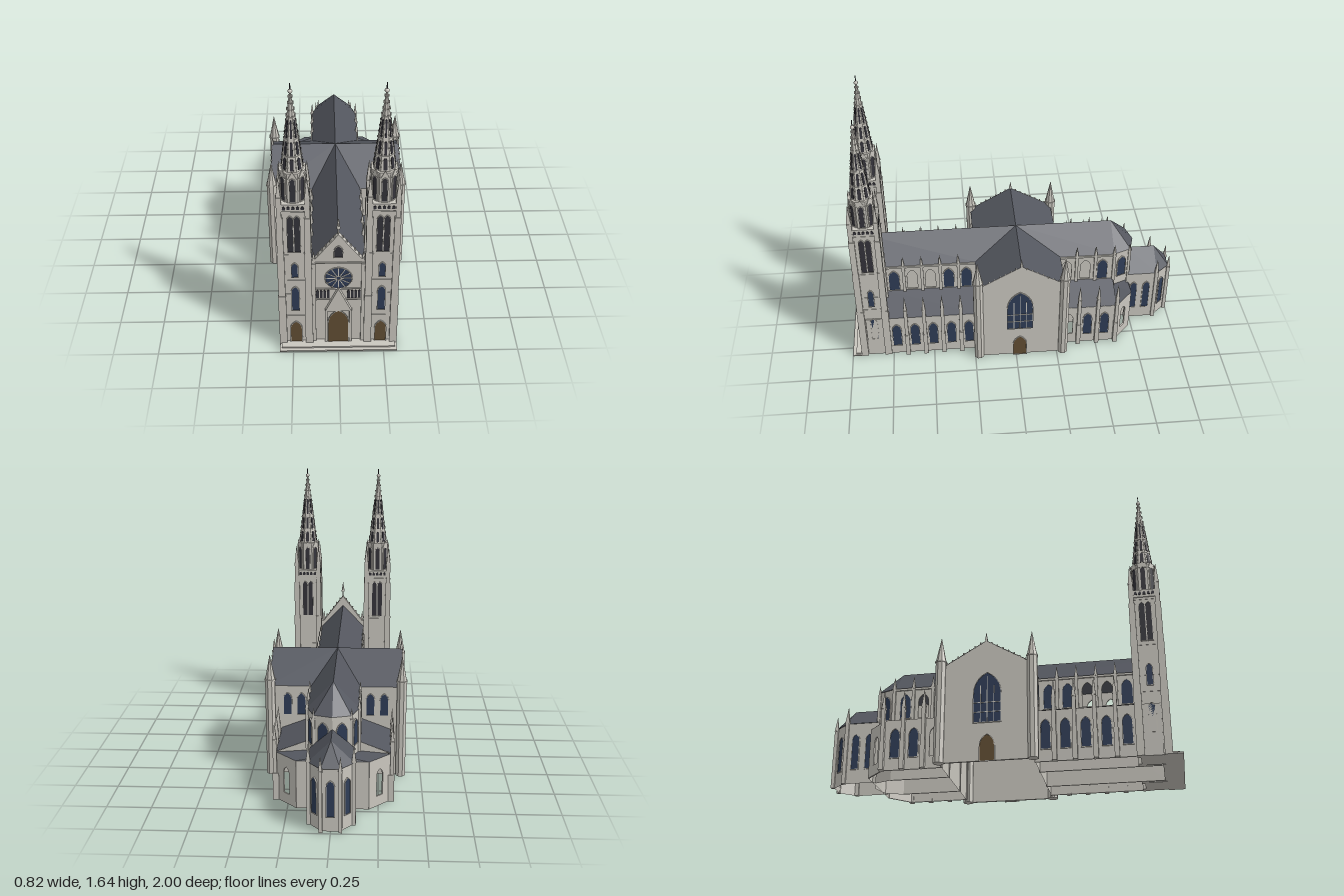
import * as THREE from 'three';

const mat = (name, color, side = THREE.FrontSide) => {
  const m = new THREE.MeshStandardMaterial({ color, side });
  m.name = name;
  return m;
};
const stone = mat('stone', 0xcac7bf, THREE.DoubleSide);
const slate = mat('slate', 0x54575f, THREE.DoubleSide);
const glass = mat('blueGlass', 0x2f3d57);
const wood = mat('doorWood', 0x624e33);
const dark = mat('darkOpening', 0x34333a);

export function createModel() {
  const root = new THREE.Group();
  root.name = 'cathedral';

  const add = (name, geo, m, x = 0, y = 0, z = 0, parent = root) => {
    const mesh = new THREE.Mesh(geo, m);
    mesh.name = name;
    mesh.position.set(x, y, z);
    parent.add(mesh);
    return mesh;
  };
  // box given by centre x, base y, centre z
  const box = (name, w, h, d, x, y, z, m = stone, parent = root) =>
    add(name, new THREE.BoxGeometry(w, h, d), m, x, y + h / 2, z, parent);
  const extrude = (shape, depth) =>
    new THREE.ExtrudeGeometry(shape, { depth, bevelEnabled: false, curveSegments: 5 });
  const polygon = (pts) => new THREE.Shape(pts.map((p) => new THREE.Vector2(p[0], p[1])));
  const mirrored = (half) => [...half, ...half.map(([x, z]) => [-x, z]).reverse()];
  // flat faces from corner loops
  const surface = (name, loops, m) => {
    const v = [];
    for (const p of loops)
      for (let i = 1; i < p.length - 1; i++) v.push(...p[0], ...p[i], ...p[i + 1]);
    const g = new THREE.BufferGeometry();
    g.setAttribute('position', new THREE.Float32BufferAttribute(v, 3));
    g.computeVertexNormals();
    return add(name, g, m);
  };
  // open upright walls along plan points [x, z]
  const shell = (name, pts, h) =>
    surface(name, pts.slice(1).map(([x, z], i) => {
      const [px, pz] = pts[i];
      return [[px, 0, pz], [px, h, pz], [x, h, z], [x, 0, z]];
    }), stone);
  // pointed arch outline
  const arch = (w, h, x = 0, y = 0, C = THREE.Shape) => {
    const s = new C(), a = w / 2, spring = y + Math.max(h - w * 0.85, h * 0.3);
    s.moveTo(x - a, y);
    s.lineTo(x + a, y);
    s.lineTo(x + a, spring);
    s.quadraticCurveTo(x + a, y + h - w * 0.25, x, y + h);
    s.quadraticCurveTo(x - a, y + h - w * 0.25, x - a, spring);
    s.closePath();
    return s;
  };
  // thin wall panel with arched holes [u, y, w, h]
  const panel = (name, u0, u1, h, holes, x, z, ry) => {
    const shape = polygon([[u0, 0], [u1, 0], [u1, h], [u0, h]]);
    for (const [u, y, w, k] of holes) shape.holes.push(arch(w, k, u, y, THREE.Path));
    add(name, extrude(shape, 0.008), stone, x, 0, z).rotation.y = ry;
  };
  // arched panel with a raised stone surround
  const lancet = (name, m, w, h, x, y, z, ry = 0, parent = root, trim = 0.004) => {
    const g = new THREE.Group();
    g.name = name;
    g.position.set(x, y, z);
    g.rotation.y = ry;
    parent.add(g);
    add(name + 'Panel', extrude(arch(w, h), 0.004), m, 0, 0, 0, g);
    if (trim) {
      const ring = arch(w + 2 * trim, h + 2 * trim, 0, -trim);
      ring.holes.push(arch(w, h, 0, 0, THREE.Path));
      add(name + 'Surround', extrude(ring, 0.007), stone, 0, 0, 0, g);
    }
    return g;
  };
  const prismatic = (rt, rb, h, sides) => {
    const g = new THREE.CylinderGeometry(rt, rb, h, sides, 1, false, Math.PI / sides).toNonIndexed();
    g.computeVertexNormals();
    return g;
  };
  // shaft with a pointed cap
  const pinnacle = (name, x, z, w, y0, y1, y2, sides = 4, parent = root) => {
    const r = w / 2 / Math.cos(Math.PI / sides);
    const part = (n, rt, rb, a, b) => add(n, prismatic(rt, rb, b - a, sides), stone, x, (a + b) / 2, z, parent);
    part(name + 'Shaft', r, r, y0, y1);
    part(name + 'Collar', r * 1.12, r * 1.12, y1 - 0.006, y1 + 0.002);
    part(name + 'Cap', 0.001, r, y1, y2);
  };
  const Q = Math.PI / 2;

  // ---- main walls, open underneath ----
  box('frontStepLower', 0.65, 0.008, 0.09, 0, 0, 0.955);
  box('frontStepUpper', 0.63, 0.016, 0.07, 0, 0, 0.945);
  for (const z of [0.225, -0.285]) shell('transeptWall', [[0.375, z], [-0.375, z]], 0.55);
  shell('ambulatoryBackWall', [[0.2, -0.73], [-0.2, -0.73]], 0.285);
  shell('apseWall', [[0.14, -0.62], [0.1, -0.72], [0, -0.75], [-0.1, -0.72], [-0.14, -0.62]], 0.55);
  shell('endChapelWall', mirrored([[0.12, -0.71], [0.12, -0.9], [0.05, -0.98]]), 0.36);

  // ---- roofs ----
  const E = 0.55, R = 0.7, W = 0.143, T = -0.03;
  const roofs = [];
  for (const s of [1, -1]) {
    const c = [0, R, T], end = [0, R, -0.61];
    roofs.push(
      [[0, R, 0.9], c, [s * W, E, 0.225], [s * W, E, 0.9]],
      [c, [s * 0.386, R, T], [s * 0.386, E, 0.228], [s * W, E, 0.228]],
      [c, [s * 0.386, R, T], [s * 0.386, E, -0.288], [s * W, E, -0.288]],
      [c, end, [s * W, E, -0.62], [s * W, E, -0.288]],
      [end, [s * W, E, -0.62], [s * 0.102, E, -0.725]],
      [end, [s * 0.102, E, -0.725], [0, E, -0.755]],
      [[s * 0.14, 0.357, 0.77], [s * 0.317, 0.29, 0.77], [s * 0.317, 0.29, 0.225], [s * 0.14, 0.357, 0.225]],
      [[s * 0.14, 0.357, -0.285], [s * 0.317, 0.288, -0.285], [s * 0.317, 0.288, -0.62], [s * 0.14, 0.357, -0.62]],
      [[s * 0.14, 0.3, -0.62], [s * 0.317, 0.285, -0.62], [s * 0.2, 0.285, -0.732], [s * 0.1, 0.3, -0.72]],
      [[s * 0.1, 0.3, -0.72], [s * 0.2, 0.285, -0.732], [s * 0.1, 0.285, -0.732]],
      [[0, 0.48, -0.72], [0, 0.48, -0.895], [s * 0.123, 0.36, -0.902], [s * 0.123, 0.36, -0.72]],
      [[0, 0.48, -0.895], [s * 0.123, 0.36, -0.902], [s * 0.052, 0.36, -0.986]],
    );
  }
  roofs.push([[0, 0.48, -0.895], [0.052, 0.36, -0.986], [-0.052, 0.36, -0.986]]);
  surface('roofs', roofs, slate);

  // ---- both long sides ----
  const bays = [0.72, 0.61, 0.5, 0.39, 0.283, -0.33, -0.445, -0.55];
  const open = [0.61, 0.5, -0.33, -0.445];
  for (const s of [1, -1]) {
    const ry = s * Q;
    // nave and aisle walls, a few bays unglazed
    for (const [a, b] of [[0.9, 0.22], [-0.28, -0.62]]) {
      const u = [-s * a, -s * b].sort((p, q) => p - q);
      const holes = open.filter((z) => z < a && z > b).map((z) => [-s * z, 0.365, 0.06, 0.145]);
      panel('naveWall', ...u, E, holes, s * 0.132, 0, ry);
      panel('aisleWall', ...u, 0.289, a < 0 ? [[s * 0.33, 0.07, 0.05, 0.165]] : [], s * 0.307, 0, ry);
      box('eaveBand', 0.01, 0.012, a - b, s * 0.144, E - 0.014, (a + b) / 2);
    }
    panel('ambulatoryWall', -0.08, 0.08, 0.285, [[0, 0.06, 0.046, 0.16]], s * 0.252, -0.67, s * 2.378);
    surface('aisleRoofEnd', [[[s * 0.14, 0.357, -0.62], [s * 0.315, 0.288, -0.62], [s * 0.14, 0.288, -0.62]]], stone);
    for (const z of bays) {
      if (!open.includes(z)) lancet('clerestoryWindow', glass, 0.06, 0.145, s * 0.14, 0.365, z, ry);
      if (z !== -0.33) lancet('aisleWindow', glass, 0.05, 0.165, s * 0.315, 0.07, z, ry);
    }
    // buttresses and their pinnacles
    for (const z of [0.66, 0.55, 0.44, 0.33, -0.39, -0.505, -0.62]) {
      box('buttressFoot', 0.034, 0.16, 0.026, s * 0.321, 0, z);
      pinnacle('buttress', s * 0.325, z, 0.021, 0, 0.36, 0.46);
      pinnacle('clerestoryPinnacle', s * 0.143, z, 0.018, 0.3, 0.55, 0.62);
    }
    // apse and end chapel
    lancet('apseSideWindow', glass, 0.055, 0.145, s * 0.12, 0.365, -0.67, s * 1.95);
    lancet('apseBackWindow', glass, 0.055, 0.145, s * 0.05, 0.365, -0.735, s * 2.85);
    for (const z of [-0.762, -0.843]) lancet('chapelSideWindow', glass, 0.04, 0.205, s * 0.12, 0.085, z, ry);
    lancet('chapelCornerWindow', glass, 0.04, 0.205, s * 0.085, 0.085, -0.94, s * 2.29);
    pinnacle('chapelPinnacle', s * 0.12, -0.9, 0.022, 0, 0.37, 0.46);
    pinnacle('chapelEndPinnacle', s * 0.052, -0.988, 0.02, 0, 0.35, 0.43);
    pinnacle('apsePinnacle', s * 0.103, -0.72, 0.016, 0.3, 0.53, 0.59);

    // transept front
    const gable = polygon([[-0.255, 0], [0.255, 0], [0.255, 0.549], [0, 0.699], [-0.255, 0.549]]);
    add('transeptGable', extrude(gable, 0.012), stone, s * 0.373, 0, T).rotation.y = ry;
    const win = lancet('transeptWindow', glass, 0.15, 0.285, s * 0.385, 0.217, -0.022, ry);
    for (const x of [-0.037, 0, 0.037]) box('mullion', 0.004, x ? 0.21 : 0.265, 0.004, x, 0, 0.005, stone, win);
    for (const y of [0.055, 0.11]) box('transom', 0.15, 0.004, 0.004, 0, y, 0.005, stone, win);
    lancet('transeptDoor', wood, 0.078, 0.145, s * 0.385, 0, -0.022, ry);
    pinnacle('gableFinial', s * 0.38, T, 0.012, 0.685, 0.71, 0.75);
    for (const e of [-1, 1]) {
      pinnacle('transeptTurret', s * 0.38, T + e * 0.256, 0.056, 0, 0.59, 0.735, 8);
      for (let i = 1; i < 8; i++)
        box('gableCrocket', 0.008, 0.009, 0.007, s * 0.386, 0.697 - i * 0.0185, T + e * i * 0.0315);
      for (const x of [0.2, 0.28])
        lancet('transeptSideWindow', glass, 0.045, 0.13, s * x, 0.375, T + e * 0.255, e > 0 ? 0 : Math.PI);
    }
  }
  lancet('chapelEndWindow', glass, 0.04, 0.205, 0, 0.085, -0.98, Math.PI);

  // ---- west front ----
  add('westGable', extrude(polygon([[-0.15, 0], [0.15, 0], [0.15, 0.59], [0.132, 0.59], [0, 0.765], [-0.132, 0.59], [-0.15, 0.59]]), 0.03), stone, 0, 0, 0.89);
  for (const y of [0.315, 0.392, 0.575]) box('stringCourse', 0.28, 0.006, 0.01, 0, y, 0.922);
  for (const s of [1, -1]) {
    box('frontPier', 0.02, 0.575, 0.022, s * 0.133, 0, 0.922);
    box('portalPier', 0.014, 0.25, 0.03, s * 0.067, 0, 0.925);
    pinnacle('frontPinnacle', s * 0.132, 0.918, 0.014, 0.575, 0.61, 0.65);
    for (let i = 1; i < 6; i++) box('frontCrocket', 0.008, 0.014, 0.008, s * i * 0.022, 0.763 - i * 0.029, 0.905);
    for (let i = 0; i < 4; i++) lancet('galleryArch', dark, 0.014, 0.056, s * (0.055 + i * 0.0195), 0.327, 0.92, 0, root, 0);
  }
  lancet('gableWindow', dark, 0.042, 0.073, 0, 0.617, 0.92);
  box('finialStem', 0.008, 0.09, 0.008, 0, 0.755, 0.905);
  add('finialTip', new THREE.ConeGeometry(0.011, 0.07, 4), stone, 0, 0.83, 0.905);
  box('doorBacking', 0.12, 0.18, 0.02, 0, 0, 0.924);
  lancet('mainDoor', wood, 0.108, 0.235, 0, 0.014, 0.936);
  add('portalGable', extrude(polygon([[-0.072, 0.248], [0.072, 0.248], [0, 0.41]]), 0.026), stone, 0, 0, 0.918);

  // rose window
  const rose = new THREE.Group();
  rose.name = 'roseWindow';
  rose.position.set(0, 0.47, 0.921);
  root.add(rose);
  add('roseGlass', new THREE.CylinderGeometry(0.072, 0.072, 0.006, 36).rotateX(Q), glass, 0, 0, 0, rose);
  for (const [r, tube] of [[0.073, 0.003], [0.014, 0.004]])
    add('roseRing', new THREE.TorusGeometry(r, tube, 6, 36), stone, 0, 0, 0.002, rose);
  for (let i = 0; i < 12; i++)
    add('roseSpoke', new THREE.BoxGeometry(0.005, 0.058, 0.005).translate(0, 0.043, 0), stone, 0, 0, 0.003, rose).rotation.z = (i * Math.PI) / 6;

  // ---- twin towers ----
  for (const s of [1, -1]) {
    const t = new THREE.Group();
    t.name = s > 0 ? 'leftTower' : 'rightTower';
    t.position.set(s * 0.233, 0, 0.853);
    root.add(t);
    box('towerBody', 0.15, 0.95, 0.15, 0, 0, 0, stone, t);
    for (const y of [0.2, 0.36, 0.455, 0.635, 0.915]) box('towerBand', 0.155, 0.008, 0.155, 0, y, 0, stone, t);
    box('towerCornice', 0.162, 0.045, 0.162, 0, 0.93, 0, stone, t);
    for (const x of [-1, 1]) for (const z of [-1, 1]) {
      box('pierBase', 0.042, 0.36, 0.042, x * 0.072, 0, z * 0.072, stone, t);
      box('pierMiddle', 0.038, 0.3, 0.038, x * 0.072, 0.36, z * 0.072, stone, t);
      box('pierUpper', 0.034, 0.23, 0.034, x * 0.072, 0.66, z * 0.072, stone, t);
      pinnacle('towerPinnacle', x * 0.073, z * 0.073, 0.026, 0.88, 1.02, 1.14, 4, t);
    }
    // openings on the four faces
    for (let k = 0; k < 4; k++) {
      const a = k * Q, put = (n, m, w, h, u, y, d, trim) =>
        lancet(n, m, w, h, u * Math.cos(a) + d * Math.sin(a), y, d * Math.cos(a) - u * Math.sin(a), a, t, trim);
      for (const u of [-0.018, 0.018]) put('belfryOpening', dark, 0.029, 0.235, u, 0.662, 0.075, 0.003);
      for (let i = -2; i <= 2; i++) put('friezeOpening', dark, 0.016, 0.02, i * 0.024, 0.944, 0.081, 0);
      if (k === 0) {
        put('towerDoor', wood, 0.06, 0.15, 0, 0.014, 0.078);
        put('towerWindow', glass, 0.038, 0.167, 0, 0.252, 0.078);
        put('towerUpperWindow', glass, 0.032, 0.095, 0, 0.49, 0.078);
      } else if (a === Q * (s > 0 ? 1 : 3)) {
        put('towerWindow', glass, 0.038, 0.16, 0, 0.132, 0.078);
        put('towerUpperWindow', glass, 0.03, 0.122, 0, 0.397, 0.078);
      }
    }
    // octagonal lantern and spire
    const y0 = 1.15, y1 = 1.59, r0 = 0.061, r1 = 0.005, cos = Math.cos(Math.PI / 8);
    const radius = (y) => r0 + ((r1 - r0) * (y - y0)) / (y1 - y0);
    add('lantern', prismatic(0.071, 0.071, 0.19, 8), stone, 0, 1.06, 0, t);
    add('lanternCornice', prismatic(0.073, 0.073, 0.01, 8), stone, 0, 1.152, 0, t);
    add('spire', prismatic(r1, r0, y1 - y0, 8), stone, 0, (y0 + y1) / 2, 0, t);
    for (const y of [1.24, 1.335, 1.455]) add('spireBand', prismatic(radius(y) + 0.002, radius(y) + 0.003, 0.008, 8), stone, 0, y, 0, t);
    const tilt = Math.atan(((r0 - r1) * cos) / (y1 - y0));
    for (let k = 0; k < 8; k++) {
      const face = new THREE.Group();
      face.name = 'spireFace';
      face.rotation.y = (k * Math.PI) / 4;
      t.add(face);
      lancet('lanternOpening', dark, 0.026, 0.145, 0, 0.982, 0.071 * cos, 0, face);
      for (const [y, h, w] of [[1.165, 0.068, 0.019], [1.25, 0.075, 0.014], [1.345, 0.1, 0.009]])
        lancet('spireOpening', dark, w, h, 0, y, radius(y) * cos - 0.001, 0, face, 0).rotation.x = -tilt;
      // small gables round the foot of the spire
      add('spireGable', extrude(polygon([[-0.022, 0], [0.022, 0], [0, 0.045]]), 0.004), stone, 0, 1.125, 0.066, face);
      const rib = new THREE.Group();
      rib.name = 'spireRib';
      rib.rotation.y = ((k + 0.5) * Math.PI) / 4;
      t.add(rib);
      for (let y = 1.18; y < 1.57; y += 0.035) box('crocket', 0.005, 0.008, 0.006, 0, y, radius(y) + 0.001, stone, rib);
    }
    add('spireBall', new THREE.SphereGeometry(0.012, 10, 8), stone, 0, 1.597, 0, t);
    box('spireCrossStem', 0.005, 0.04, 0.005, 0, 1.6, 0, dark, t);
  }
  return root;
}
